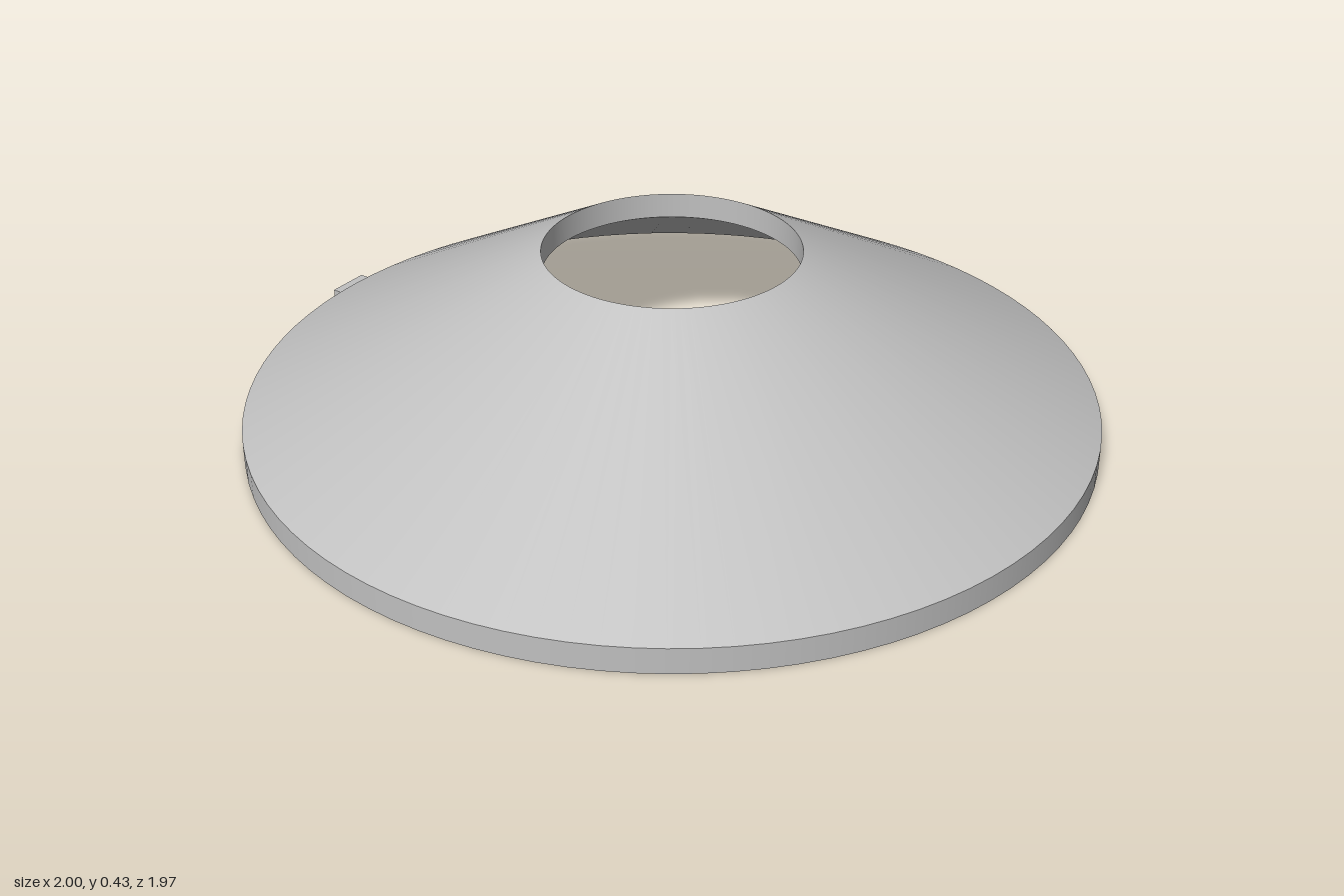
import * as THREE from 'three';

export function createModel() {
  const group = new THREE.Group();
  const grey = new THREE.MeshStandardMaterial({ color: 0xc0c0c0 });
  grey.name = 'light grey';

  const outer = 0.9865, hole = 0.295, height = 0.43, rim = 0.06;
  const centreX = 0.0135;

  // Closed profile: each edge is its own lathe, so the corners stay sharp
  const profile = [[outer, 0], [outer, rim], [hole, height], [hole, height - rim]];
  const names = ['rimWall', 'coneTop', 'holeWall', 'coneUnderside'];
  const shade = new THREE.Group();
  shade.name = 'conicalShade';
  shade.position.x = centreX;
  names.forEach((name, i) => {
    const edge = [profile[i], profile[(i + 1) % 4]].map(([r, y]) => new THREE.Vector2(r, y));
    const mesh = new THREE.Mesh(new THREE.LatheGeometry(edge, 96), grey);
    mesh.name = name;
    shade.add(mesh);
  });
  group.add(shade);

  // Small T-shaped tab on the rim
  const tab = new THREE.Group();
  tab.name = 'rimTab';
  const addBox = (name, x0, x1, width) => {
    const h = 0.055;
    const mesh = new THREE.Mesh(new THREE.BoxGeometry(x1 - x0, h, width), grey);
    mesh.position.set((x0 + x1) / 2, h / 2, 0);
    mesh.name = name;
    tab.add(mesh);
  };
  addBox('tabHead', -1, -0.978, 0.104);
  addBox('tabNeck', -0.978, -0.968, 0.06);
  group.add(tab);

  return group;
}
